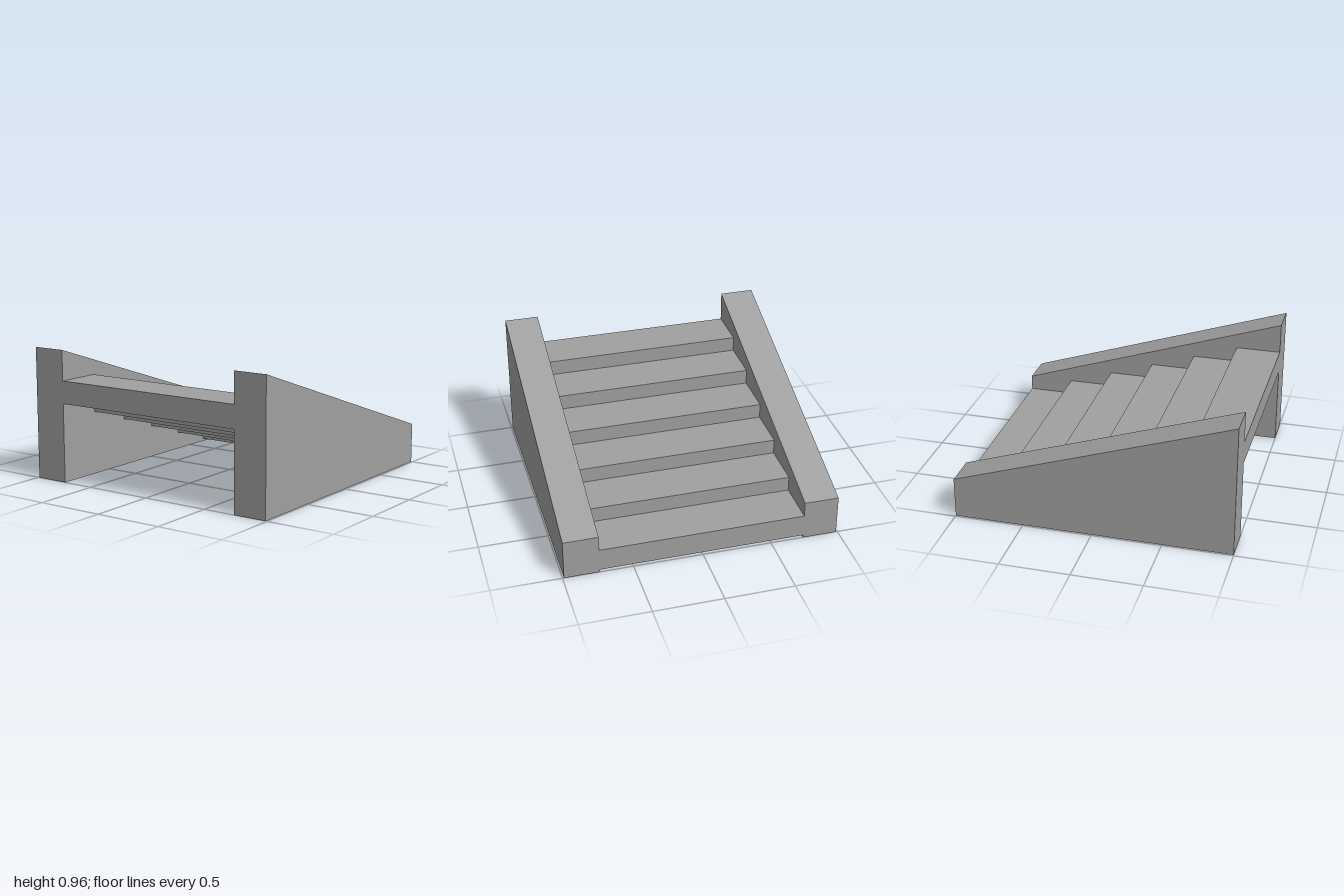
import * as THREE from 'three';

const STEPS = 6, RUN = 2 / STEPS, RISE = 0.111, THICK = 0.165, LOWEST = 0.185;
const INNER = 0.74, OUTER = 0.99;

// Extrudes a (z, y) profile across x, centred on x = 0
function extrudeAcross(points, width) {
  const shape = new THREE.Shape(points.map(([z, y]) => new THREE.Vector2(z, y)));
  const geometry = new THREE.ExtrudeGeometry(shape, { depth: width, bevelEnabled: false });
  geometry.translate(0, 0, -width / 2);
  geometry.rotateY(-Math.PI / 2);
  return geometry;
}

export function createModel() {
  const group = new THREE.Group();
  const stone = new THREE.MeshStandardMaterial({ color: 0xa0a0a0 });
  stone.name = 'grey stone';

  // Open-bottomed flight, rising from the back to the front
  const top = [], bottom = [];
  for (let i = 0; i < STEPS; i++) {
    const z = -1 + i * RUN, y = LOWEST + i * RISE;
    top.push([z, y], [z + RUN, y]);
    bottom.push([z, y - THICK], [z + RUN, y - THICK]);
  }
  const flight = new THREE.Mesh(extrudeAcross([...bottom, ...top.reverse()], INNER * 2), stone);
  flight.name = 'stairFlight';
  group.add(flight);

  // Sloping side walls
  const wallProfile = [[-1, 0], [1, 0], [1, 0.962], [-1, 0.295]];
  const wallGeometry = extrudeAcross(wallProfile, OUTER - INNER);
  for (const side of [-1, 1]) {
    const wall = new THREE.Mesh(wallGeometry, stone);
    wall.name = side > 0 ? 'leftWall' : 'rightWall';
    wall.position.x = side * (INNER + OUTER) / 2;
    group.add(wall);
  }
  return group;
}
